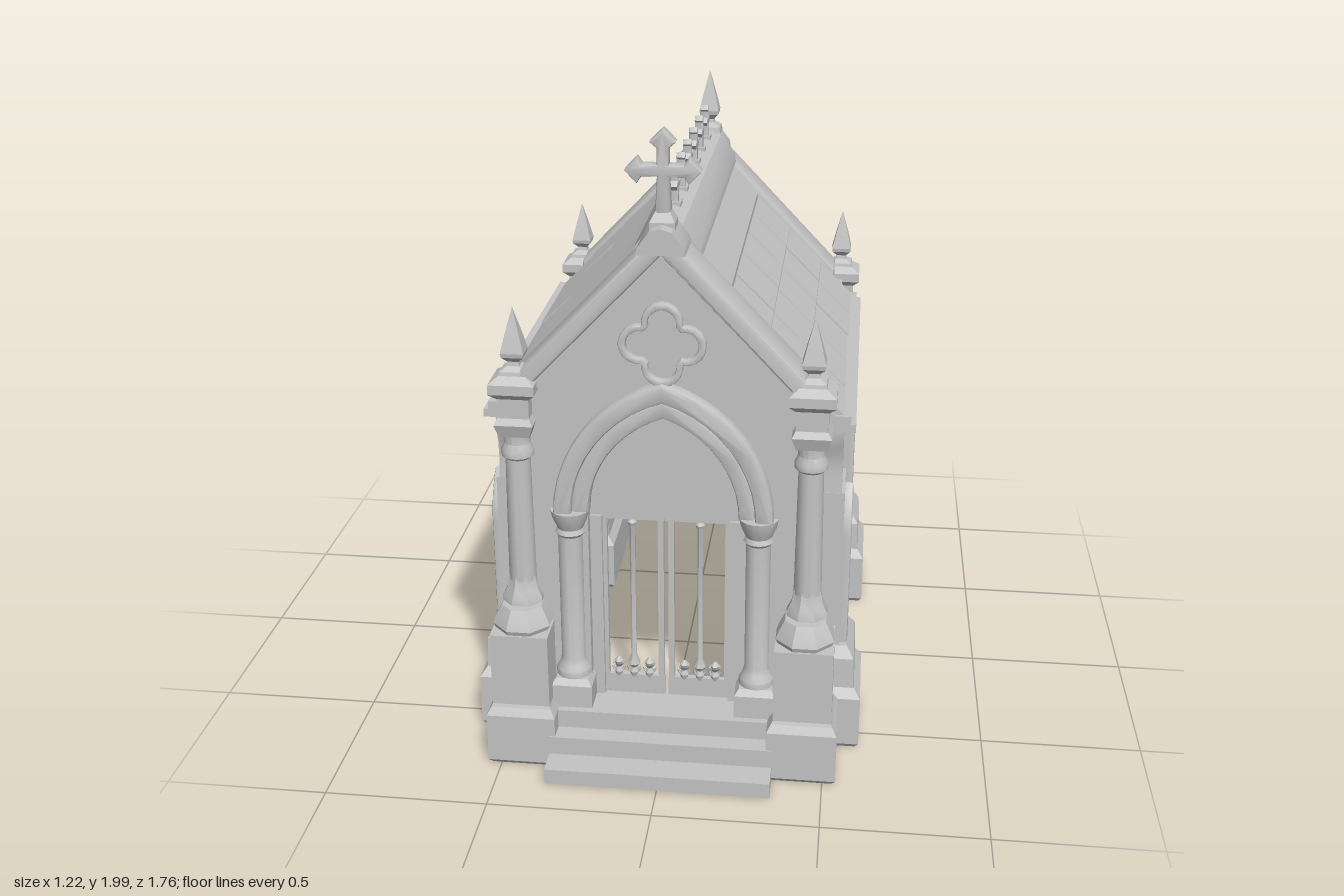
import * as THREE from 'three';
import { toCreasedNormals } from 'three/addons/utils/BufferGeometryUtils.js';

const stone = new THREE.MeshStandardMaterial({ color: 0xc4c4c4 });
stone.name = 'grey stone';
const SLOPE = 1.05, ANGLE = Math.atan(SLOPE);

function add(parent, name, geo, x = 0, y = 0, z = 0, crease = 0.6) {
  const m = new THREE.Mesh(toCreasedNormals(geo, crease), stone);
  m.name = name;
  m.position.set(x, y, z);
  parent.add(m);
  return m;
}
function group(parent, name) {
  const g = new THREE.Group();
  g.name = name;
  parent.add(g);
  return g;
}
// Box given by its limits
function box(p, name, x0, x1, y0, y1, z0, z1) {
  return add(p, name, new THREE.BoxGeometry(x1 - x0, y1 - y0, z1 - z0), (x0 + x1) / 2, (y0 + y1) / 2, (z0 + z1) / 2);
}
// Turned profile of [half width, y]; four sides give a square section
function turned(p, name, pts, x, z, sides = 16) {
  const square = sides === 4, k = square ? Math.SQRT2 : 1;
  const v = pts.map(([r, y]) => new THREE.Vector2(r * k, y));
  return add(p, name, new THREE.LatheGeometry(v, sides, Math.PI / sides), x, 0, z, square ? 0.1 : 0.6);
}
function extrude(p, name, shape, z0, z1, bevel = 0) {
  const g = new THREE.ExtrudeGeometry(shape, {
    depth: z1 - z0 - bevel, bevelEnabled: bevel > 0, bevelSize: bevel, bevelOffset: -bevel,
    bevelThickness: bevel, bevelSegments: 2, curveSegments: 12 });
  return add(p, name, g, 0, 0, z0);
}
const poly = pts => new THREE.Shape(pts.map(([x, y]) => new THREE.Vector2(x, y)));
// Pointed arch outline, half width w, centred on cx
function archPts(w, y0, spring, apex, cx = 0, n = 10) {
  const h = apex - spring, c = (h * h - w * w) / (2 * w), r = w + c, end = Math.atan2(h, c);
  const right = [];
  for (let i = 0; i <= n; i++) {
    const a = end * i / n;
    right.push([r * Math.cos(a) - c, spring + r * Math.sin(a)]);
  }
  const left = right.slice(0, -1).reverse().map(([x, y]) => [-x, y]);
  return [[-w, y0], [w, y0], ...right, ...left].map(([x, y]) => [x + cx, y]);
}
const arch = (...a) => poly(archPts(...a));
// Inverted V, the same vertical thickness all along
const chevron = (w, apex, t) => poly([[-w, apex - SLOPE * w], [-w, apex - t - SLOPE * w],
  [0, apex - t], [w, apex - t - SLOPE * w], [w, apex - SLOPE * w], [0, apex]]);
// Rounded roll along the ridge, w half width, top y
const roll = (w, top) => poly([[-w, top - 1.1 * w], [w, top - 1.1 * w], [0.95 * w, top - 0.8 * w], [0.45 * w, top - 0.14 * w], [0, top],
  [-0.45 * w, top - 0.14 * w], [-0.95 * w, top - 0.8 * w]]);
// Four-lobed outline
function quatrefoil(r, d, cy) {
  const pts = [];
  for (let k = 0; k < 4; k++) for (let i = 0; i <= 10; i++) {
    const m = k * Math.PI / 2, a = m + (i / 10 - 0.5) * 3.6;
    pts.push([d * Math.cos(m) + r * Math.cos(a), cy + d * Math.sin(m) + r * Math.sin(a)]);
  }
  return poly(pts);
}
function quatrefoilFrame(p, cy, z0, z1) {
  const s = quatrefoil(0.06, 0.068, cy);
  s.holes.push(quatrefoil(0.042, 0.064, cy));
  extrude(p, 'quatrefoil frame', s, z0, z1, 0.006);
}
function finial(p, x, y, z, h) {
  turned(p, 'finial', [[0, 0], [0.042, 0], [0.038, 0.1], [0.018, 0.16], [0.016, 0.22], [0.032, 0.3], [0.034, 0.36], [0.022, 0.6], [0, 1]]
    .map(([r, t]) => [r, y + t * h]), x, z, 4);
}
// Cross with flared arms
function cross(p, name, x, y, z, w, h, depth, alongZ) {
  const c = h * 0.54, a = w * 0.15, b = w * 0.34;
  const pts = [[-a * 1.4, 0], [a * 1.4, 0], [a, c - a], [w * 0.55, c - a], [w * 0.68, c - b], [w, c], [w * 0.68, c + b], [w * 0.55, c + a],
    [a, c + a], [a, h - w * 0.5], [b, h - w * 0.34], [0, h]];
  const s = poly([...pts, ...pts.slice(2, -1).reverse().map(([u, v]) => [-u, v])]);
  const m = extrude(p, name, s, -depth / 2, depth / 2, depth * 0.15);
  const g = group(p, name + ' mount');
  g.add(m);
  g.position.set(x, y, z);
  if (alongZ) g.rotation.y = Math.PI / 2;
}
// Corner pier: square base at bx, bz; round shaft, cap block and finial at x, z
function pier(p, name, x, z, bx, bz, base, drop) {
  const g = group(p, name), q = base - 0.018;
  turned(g, 'pier base', [[0, 0.01], [base - 0.012, 0.01], [base, 0.025], [base, 0.185], [q + 0.004, 0.21], [q, 0.22], [q, 0.46], [0, 0.46]],
    bx, bz, 4);
  turned(g, 'pier collar', [[q, 0.46], [q + 0.006, 0.475], [q - 0.004, 0.5], [0.066, 0.535], [0, 0.535]], bx, bz, 8);
  turned(g, 'pier moulding', [[0.066, 0.51], [0.066, 0.55], [0.05, 0.58], [0.043, 0.62]], x, z, 8);
  turned(g, 'pier shaft', [[0.043, 0.58], [0.038, 1.01 - drop], [0.05, 1.02 - drop], [0.05, 1.04 - drop], [0.04, 1.06 - drop],
    [0.044, 1.1 - drop]], x, z);
  turned(g, 'pier cap', [[0, 1.09 - drop], [0.045, 1.09 - drop], [0.058, 1.13 - drop], [0.047, 1.15 - drop], [0.047, 1.21 - drop],
    [0.068, 1.23 - drop], [0.068, 1.26 - drop], [0.04, 1.28 - drop], [0, 1.28 - drop]], x, z, 4);
  finial(g, x, 1.27 - drop, z, 0.21);
}

function front(root) {
  const f = group(root, 'front');
  const wall = poly([[-0.45, 0.015], [-0.23, 0.015], ...archPts(0.23, 0, 0.83, 1.16).slice(2).reverse(), [0.23, 0.015],
    [0.45, 0.015], [0.45, 1.2], [0, 1.67], [-0.45, 1.2]]);
  extrude(f, 'front wall', wall, 0.57, 0.66);
  extrude(f, 'gable coping', chevron(0.47, 1.73, 0.075), 0.555, 0.7, 0.012);
  extrude(f, 'gable inner moulding', chevron(0.44, 1.655, 0.03), 0.66, 0.68);
  extrude(f, 'apex roll', roll(0.07, 1.735), 0.557, 0.702);
  quatrefoilFrame(f, 1.385, 0.655, 0.685);
  // Stepped arch moulding and the panel below it
  for (const [w, apex, iw, iapex, z] of [[0.33, 1.27, 0.275, 1.21, 0.7], [0.28, 1.215, 0.225, 1.155, 0.68]]) {
    const s = poly([...archPts(w, 0.83, 0.84, apex).slice(1), [-w, 0.83], ...archPts(iw, 0.83, 0.84, iapex).slice(2).reverse()]);
    extrude(f, 'arch moulding', s, 0.64, z, 0.012);
  }
  extrude(f, 'arch panel', arch(0.23, 0.805, 0.83, 1.16), 0.59, 0.62);
  for (const s of [-1, 1]) {
    const x = s * 0.285;
    turned(f, 'door column base', [[0, 0.01], [0.064, 0.01], [0.064, 0.26], [0.05, 0.28], [0, 0.28]], x, 0.655, 4);
    turned(f, 'door column', [[0.055, 0.28], [0.055, 0.3], [0.044, 0.32], [0.038, 0.34], [0.038, 0.76], [0.046, 0.77],
      [0.04, 0.785], [0.055, 0.82], [0.06, 0.845], [0, 0.845]], x, 0.655);
    box(f, 'door jamb', s * 0.212 - 0.018, s * 0.212 + 0.018, 0.12, 0.81, 0.58, 0.63);
    pier(f, 'front pier', s * 0.435, 0.66, s * 0.433, 0.688, 0.107, 0);
  }
  // Steps
  [[0.345, 0.015, 0.065, 0.885], [0.345, 0.065, 0.125, 0.8], [0.33, 0.125, 0.185, 0.74]].forEach(([w, a, b, z]) =>
    box(f, 'step', -w, w, a, b, z - 0.18, z));
  // Top cross
  turned(f, 'cross foot', [[0.036, 1.71], [0.036, 1.74], [0.02, 1.77], [0, 1.77]], 0, 0.622, 4);
  cross(f, 'gable cross', 0, 1.745, 0.622, 0.108, 0.255, 0.045, false);
}

function gate(root) {
  const g = group(root, 'gate'), z = 0.605;
  for (const s of [-1, 1]) {
    const lo = Math.min(s * 0.006, s * 0.195), hi = Math.max(s * 0.006, s * 0.195);
    box(g, 'gate bottom rail', lo, hi, 0.185, 0.25, z - 0.008, z + 0.008);
    box(g, 'gate top rail', lo, hi, 0.795, 0.81, z - 0.008, z + 0.008);
    for (const x of [0.016, 0.19]) box(g, 'gate upright', s * x - 0.009, s * x + 0.009, 0.19, 0.81, z - 0.01, z + 0.01);
    for (const x of [0.055, 0.104, 0.152]) {
      const full = x === 0.104;
      const end = full ? 0.8 : 0.31;
      turned(g, 'gate bar', [[0.008, 0.24], [0.015, 0.26], [0.008, 0.275], [0.02, 0.29], [0.009, 0.32], [0.009, end - 0.03],
        [0.015, end - 0.015], [0.003, end]].filter(([, y]) => full || y < 0.3 || y === end), s * x, z, 8);
      const curl = add(g, 'gate scroll', new THREE.TorusGeometry(0.018, 0.004, 5, 10, Math.PI), s * x, 0.275, z);
      curl.rotation.z = Math.PI;
    }
  }
}

// Side wall, built facing +z and then turned outward
function side(root, s) {
  const g = group(root, s > 0 ? 'left side' : 'right side');
  g.rotation.y = s * Math.PI / 2;
  const span = (name, zBack, zFront, y0, y1, a, b) =>
    box(g, name, Math.min(-s * zBack, -s * zFront), Math.max(-s * zBack, -s * zFront), y0, y1, a, b);
  const cx = s * 0.033;
  const a = s * 0.63, b = -s * 0.58, l = Math.min(a, b), r = Math.max(a, b);
  const wall = poly([[l, 0.02], [r, 0.02], [r, 1.15], [l, 1.15]]);
  wall.holes.push(arch(0.115, 0.445, 0.7, 0.935, cx));
  extrude(g, 'side wall', wall, 0.405, 0.455);
  span('wall base', -0.62, 0.57, 0.015, 0.21, 0.43, 0.51);
  span('wall plinth', -0.62, 0.57, 0.21, 0.34, 0.43, 0.485);
  span('plinth moulding', -0.62, 0.57, 0.34, 0.375, 0.43, 0.475);
  span('upper moulding', -0.62, 0.57, 1.04, 1.09, 0.44, 0.48);
  span('eave cornice', -0.63, 0.56, 1.09, 1.115, 0.42, 0.56);
  span('eave gutter', -0.61, 0.56, 1.115, 1.14, 0.42, 0.545);
  // Window
  const frame = arch(0.138, 0.42, 0.7, 0.965, cx);
  frame.holes.push(arch(0.115, 0.443, 0.7, 0.935, cx));
  extrude(g, 'window frame', frame, 0.4, 0.475, 0.01);
  const tracery = arch(0.118, 0.44, 0.7, 0.938, cx);
  for (const k of [-1, 1]) tracery.holes.push(arch(0.038, 0.465, 0.66, 0.775, cx + k * 0.05));
  tracery.holes.push(new THREE.Path().absarc(cx, 0.848, 0.046, 0, Math.PI * 2));
  extrude(g, 'window tracery', tracery, 0.417, 0.44);
  extrude(g, 'window pane', arch(0.118, 0.44, 0.7, 0.938, cx), 0.407, 0.415);
  // Buttresses
  for (const z of [0.445, -0.497]) {
    const bt = group(g, 'buttress');
    bt.position.x = -s * z;
    turned(bt, 'buttress base', [[0, 0.01], [0.132, 0.01], [0.143, 0.025], [0.143, 0.19], [0.122, 0.22], [0.118, 0.32], [0.095, 0.355], [0, 0.355]],
      0, 0.465, 4);
    box(bt, 'buttress shaft', -0.093, 0.093, 0.33, 0.88, 0.42, 0.535);
    extrude(bt, 'buttress top', poly([[-0.093, 0.86], [0.093, 0.86], [0.085, 0.95], [0.088, 1.0], [0.106, 1.04], [0.106, 1.095],
      [-0.106, 1.095], [-0.106, 1.04], [-0.088, 1.0], [-0.085, 0.95]]), 0.42, 0.525);
    const niche = arch(0.074, 0.35, 0.72, 0.875);
    niche.holes.push(arch(0.046, 0.37, 0.68, 0.81));
    extrude(bt, 'niche frame', niche, 0.53, 0.56, 0.008);
    const slit = arch(0.022, 0.41, 0.7, 0.79);
    slit.holes.push(arch(0.013, 0.42, 0.7, 0.775));
    extrude(bt, 'niche slit', slit, 0.53, 0.547);
  }
}

function roof(root) {
  const g = group(root, 'roof');
  extrude(g, 'roof slab', chevron(0.515, 1.665, 0.045), -0.62, 0.56);
  extrude(g, 'upper slab', chevron(0.18, 1.69, 0.05), -0.61, 0.56);
  extrude(g, 'ridge cap', roll(0.1, 1.718), -0.62, 0.56);
  // Tiles, three rows of five on each slope
  const dx = 0.115, len = dx / Math.cos(ANGLE), dz = 0.232;
  for (const s of [-1, 1]) for (let r = 0; r < 3; r++) for (let c = 0; c < 5; c++) {
    const x = 0.175 + dx * (r + 0.5), wobble = ((r * 7 + c * 5) % 4) * 0.001;
    const t = add(g, 'roof tile', new THREE.BoxGeometry(len - 0.006, 0.022, dz - 0.008),
      s * x, 1.668 + wobble - SLOPE * x, -0.608 + dz * (c + 0.5));
    t.rotation.z = -s * (ANGLE - 0.03);
  }
  // Ridge crosses
  for (let i = 0; i < 6; i++) {
    const z = 0.36 - i * 0.174;
    box(g, 'ridge cross foot', -0.02, 0.02, 1.7, 1.725, z - 0.022, z + 0.022);
    cross(g, 'ridge cross', 0, 1.715, z, 0.043, 0.115, 0.024, true);
  }
}

// Open rear gable with tracery
function back(root) {
  const g = group(root, 'back');
  extrude(g, 'back gable coping', chevron(0.46, 1.705, 0.08), -0.745, -0.605, 0.012);
  extrude(g, 'back gable inner moulding', chevron(0.44, 1.63, 0.03), -0.74, -0.7);
  extrude(g, 'back apex roll', roll(0.07, 1.712), -0.748, -0.605);
  box(g, 'back beam', -0.46, 0.46, 1.115, 1.15, -0.75, -0.715);
  quatrefoilFrame(g, 1.385, -0.75, -0.72);
  turned(g, 'back mullion', [[0.011, 0.42], [0.011, 1.27]], 0, -0.737, 8);
  finial(g, 0, 1.7, -0.682, 0.22);
  // Low wall between the rear piers
  [[0.14, 0.2, -0.82, -0.68], [0.2, 0.4, -0.79, -0.69], [0.4, 0.425, -0.805, -0.68], [0.425, 0.46, -0.775, -0.69]].forEach(
    ([a, b, z0, z1]) => box(g, 'low wall course', -0.4, 0.4, a, b, z0, z1));
  for (const s of [-1, 1]) {
    pier(g, 'back pier', s * 0.483, -0.76, s * 0.447, -0.76, 0.12, 0.08);
    box(g, 'gable shoulder', s * 0.455 - 0.035, s * 0.455 + 0.035, 1.09, 1.16, -0.71, -0.6);
  }
}

export function createModel() {
  const root = new THREE.Group();
  root.name = 'stone chapel';
  front(root);
  gate(root);
  for (const s of [-1, 1]) side(root, s);
  roof(root);
  back(root);
  return root;
}
